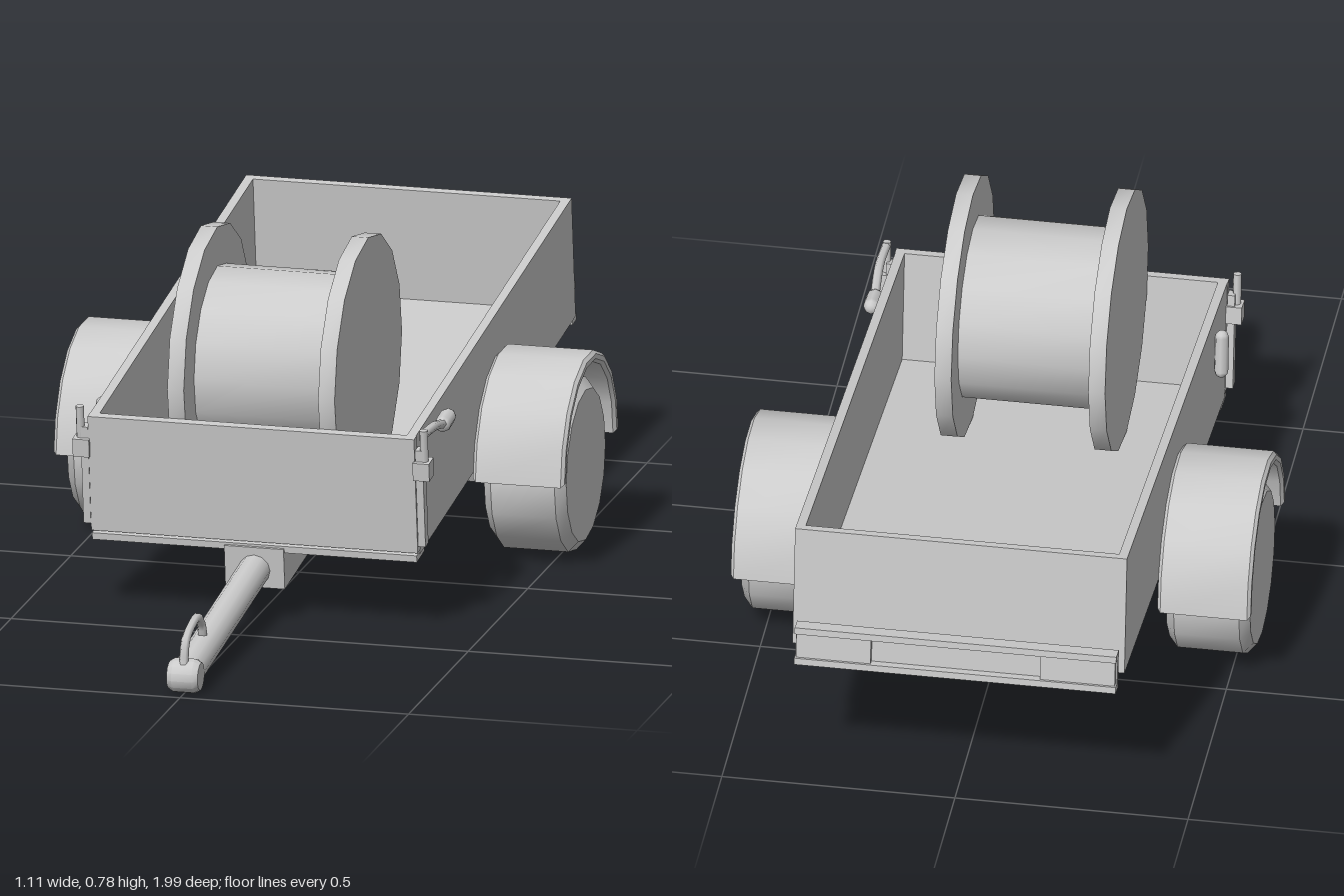
import * as THREE from 'three';
import { toCreasedNormals } from 'three/addons/utils/BufferGeometryUtils.js';

const mat = new THREE.MeshStandardMaterial({ color: 0xcccccc, side: THREE.DoubleSide });

function add(parent, name, geometry, x = 0, y = 0, z = 0) {
  const mesh = new THREE.Mesh(geometry, mat);
  mesh.name = name;
  mesh.position.set(x, y, z);
  parent.add(mesh);
  return mesh;
}

// Box given by its min and max corners
function box(parent, name, x0, x1, y0, y1, z0, z1) {
  return add(parent, name, new THREE.BoxGeometry(x1 - x0, y1 - y0, z1 - z0),
    (x0 + x1) / 2, (y0 + y1) / 2, (z0 + z1) / 2);
}

// Solid of revolution around the x axis
function turned(profile, sides) {
  const points = profile.map(([r, h]) => new THREE.Vector2(r, h));
  const geo = new THREE.LatheGeometry(points, sides);
  geo.rotateZ(-Math.PI / 2);
  return toCreasedNormals(geo, 0.6);
}

// Side profile in (z, y), extruded across x and centred on x = 0
function sideExtrude(points, width, bevel = 0) {
  const shape = new THREE.Shape(points.map(([z, y]) => new THREE.Vector2(-z, y)));
  const depth = width - 2 * bevel;
  const geo = new THREE.ExtrudeGeometry(shape, {
    depth, bevelEnabled: bevel > 0, bevelSize: bevel, bevelThickness: bevel,
    bevelOffset: -bevel, bevelSegments: 1,
  });
  geo.translate(0, 0, -depth / 2);
  geo.rotateY(Math.PI / 2);
  return toCreasedNormals(geo, 0.6);
}

function tube(points, radius, sides = 6) {
  const curve = new THREE.CatmullRomCurve3(points.map((p) => new THREE.Vector3(...p)), false, 'centripetal');
  return new THREE.TubeGeometry(curve, 12, radius, sides);
}

// Arched mudguard ring section in (z, y)
function fenderProfile(outer, inner, steps) {
  const points = [];
  for (let i = 0; i <= steps; i++) {
    const a = (Math.PI * i) / steps;
    points.push([outer * Math.cos(a), outer * Math.sin(a)]);
  }
  for (let i = steps; i >= 0; i--) {
    const a = (Math.PI * i) / steps;
    points.push([inner * Math.cos(a), inner * Math.sin(a)]);
  }
  return points;
}

export function createModel() {
  const model = new THREE.Group();
  model.name = 'trailer';

  // Everything fixed to the chassis tips forward around the axle
  const chassis = new THREE.Group();
  chassis.name = 'chassis';
  chassis.position.set(0, 0.2, -0.31);
  chassis.rotation.x = 0.124;
  model.add(chassis);

  // Open cargo bed
  const bed = new THREE.Group();
  bed.name = 'bed';
  chassis.add(bed);
  box(bed, 'floor', -0.355, 0.355, 0.055, 0.075, -0.655, 0.66);
  for (const s of [-1, 1]) {
    const x = s * 0.346;
    box(bed, 'sideWall', x - 0.01, x + 0.01, 0.055, 0.326, -0.655, 0.66);
  }
  box(bed, 'rearWall', -0.355, 0.355, 0.055, 0.326, -0.655, -0.635);
  box(bed, 'frontBoard', -0.357, 0.357, 0.065, 0.326, 0.66, 0.682);
  box(bed, 'frontSill', -0.355, 0.355, 0.045, 0.06, 0.62, 0.684);

  // Drawbar with its housing, coupling and grab handle
  const housing = [[0.69, -0.036], [0.69, 0.055], [-0.07, 0.055], [-0.07, 0.01], [-0.03, -0.036]];
  add(chassis, 'drawbarHousing', sideExtrude(housing, 0.13));
  const bar = new THREE.CylinderGeometry(0.034, 0.034, 0.62, 12);
  bar.rotateX(Math.PI / 2);
  add(chassis, 'drawbar', bar, 0, 0.004, 0.97);
  add(chassis, 'coupling', turned([[0, -0.036], [0.03, -0.034], [0.037, -0.022], [0.037, 0.022],
    [0.03, 0.034], [0, 0.036]], 14), 0, 0.004, 1.274);
  add(chassis, 'grabHandle', tube([[0, 0.03, 1.285], [0, 0.078, 1.265], [0, 0.092, 1.22],
    [0, 0.09, 1.16], [0, 0.06, 1.13], [0, 0.03, 1.125]], 0.01));

  // Axle and its brackets
  const axle = new THREE.CylinderGeometry(0.025, 0.025, 0.8, 10);
  axle.rotateZ(Math.PI / 2);
  add(chassis, 'axle', axle);
  const bracket = [[0.075, 0.055], [0.04, -0.04], [-0.04, -0.04], [-0.075, 0.055]];
  for (const s of [-1, 1]) add(chassis, 'axleBracket', sideExtrude(bracket, 0.13), s * 0.255, 0, 0);

  // Rear light bar: channel with lipped edges and end lamps
  const lights = new THREE.Group();
  lights.name = 'rearLightBar';
  chassis.add(lights);
  box(lights, 'backPlate', -0.345, 0.345, 0.028, 0.115, -0.682, -0.668);
  box(lights, 'upperLip', -0.345, 0.345, 0.1, 0.115, -0.702, -0.68);
  box(lights, 'lowerLip', -0.345, 0.345, 0.028, 0.043, -0.702, -0.68);
  for (const s of [-1, 1]) {
    box(lights, 'lamp', s * 0.262 - 0.08, s * 0.262 + 0.08, 0.043, 0.1, -0.696, -0.68);
    box(lights, 'mount', s * 0.25 - 0.03, s * 0.25 + 0.03, 0.058, 0.105, -0.67, -0.65);
  }

  // Front board latches
  for (const s of [-1, 1]) {
    box(chassis, 'latchBlock', s * 0.372 - 0.018, s * 0.372 + 0.018, 0.235, 0.275, 0.65, 0.69);
    box(chassis, 'latchStrap', s * 0.366 - 0.008, s * 0.366 + 0.008, 0.08, 0.3, 0.655, 0.68);
    add(chassis, 'latchPin', new THREE.CylinderGeometry(0.009, 0.009, 0.09, 8), s * 0.376, 0.3, 0.672);
  }
  // Left lever is swung back along the rim, right one hangs down
  add(chassis, 'latchLever', tube([[0.377, 0.337, 0.675], [0.38, 0.325, 0.6], [0.376, 0.297, 0.52]], 0.01));
  const grip = new THREE.CapsuleGeometry(0.018, 0.04, 3, 8);
  grip.rotateX(Math.PI / 2);
  add(chassis, 'leverGrip', grip, 0.375, 0.293, 0.49);
  add(chassis, 'hangingLever', new THREE.CapsuleGeometry(0.015, 0.08, 3, 8), -0.372, 0.24, 0.5);

  // Wheels and mudguards
  const tyre = turned([[0, -0.09], [0.165, -0.09], [0.188, -0.07], [0.188, 0.07], [0.165, 0.09], [0, 0.09]], 16);
  const guard = sideExtrude(fenderProfile(0.233, 0.208, 9), 0.2, 0.007);
  for (const s of [-1, 1]) {
    add(model, 'wheel', tyre, s * 0.456, 0.2, -0.31);
    add(model, 'mudguard', guard, s * 0.456, 0.21, s > 0 ? -0.318 : -0.298);
  }

  // Cable reel standing in the bed
  const reel = new THREE.Group();
  reel.name = 'cableReel';
  reel.position.set(-0.002, 0.508, 0.115);
  model.add(reel);
  for (const s of [-1, 1]) {
    add(reel, 'reelFlange', turned([[0, -0.018], [0.283, -0.018], [0.283, 0.018], [0, 0.018]], 16), s * 0.165, 0, 0);
  }
  add(reel, 'reelDrum', turned([[0.197, -0.15], [0.197, 0.15]], 16));

  return model;
}
